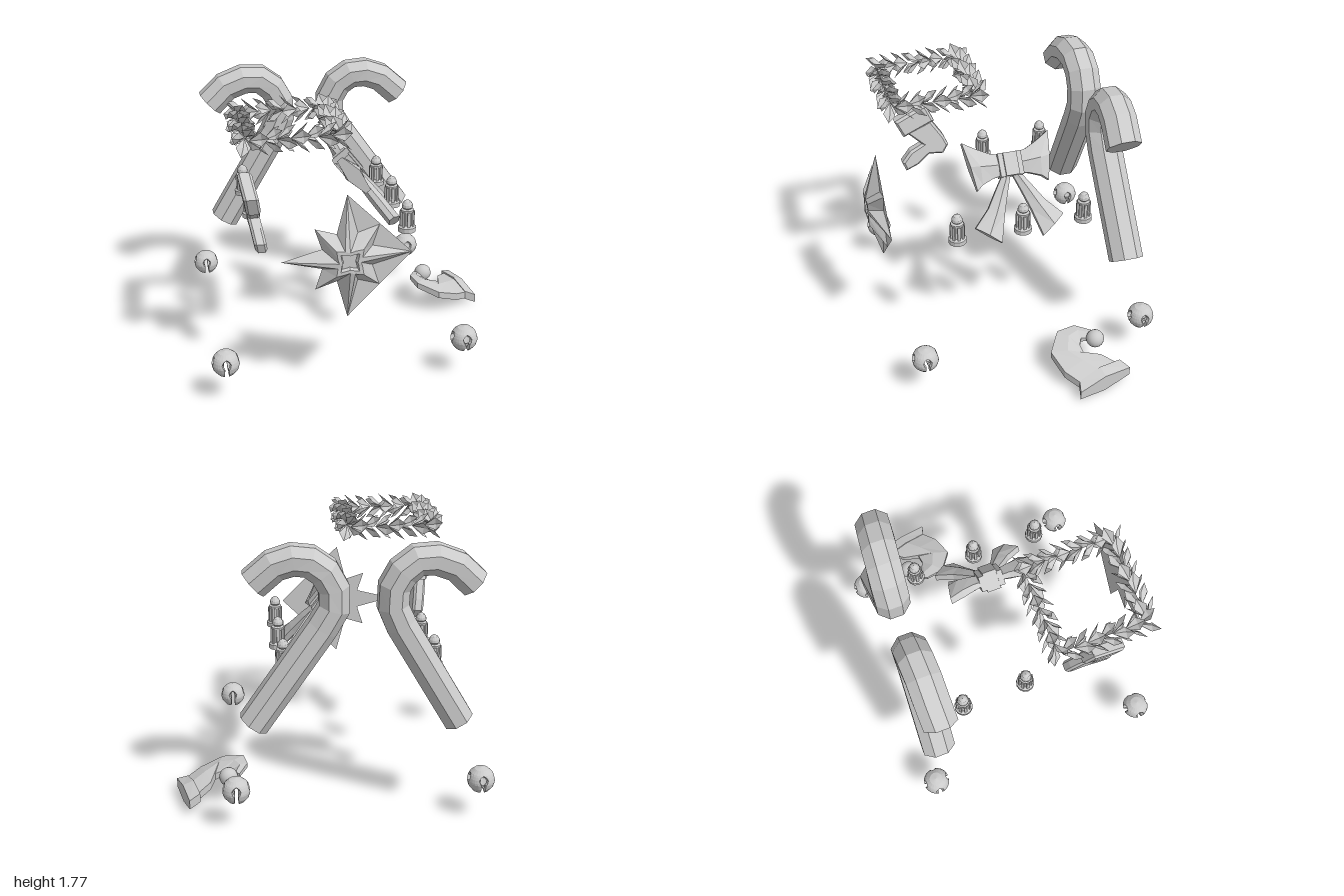
import * as THREE from 'three';

const V = (x, y, z) => new THREE.Vector3(x, y, z);
const mat = new THREE.MeshStandardMaterial({ color: 0xcccccc, flatShading: true, side: THREE.DoubleSide });
const smooth = new THREE.MeshStandardMaterial({ color: 0xcccccc });

function mesh(geo, name, parent, material = mat) {
  const m = new THREE.Mesh(geo, material);
  m.name = name;
  parent.add(m);
  return m;
}

// Faceted geometry from a list of triangle corners
function facets(points) {
  const g = new THREE.BufferGeometry().setFromPoints(points);
  g.computeVertexNormals();
  return g;
}

// Skin a row of rings; optionally close each ring and cap the ends
function loft(rings, { closed = true, caps = true } = {}) {
  const p = [], n = rings[0].length;
  for (let i = 0; i < rings.length - 1; i++) {
    for (let j = 0; j < (closed ? n : n - 1); j++) {
      const k = (j + 1) % n, a = rings[i], b = rings[i + 1];
      p.push(a[j], a[k], b[k], a[j], b[k], b[j]);
    }
  }
  if (caps) {
    for (const [r, flip] of [[rings[0], true], [rings[rings.length - 1], false]]) {
      for (let j = 1; j < n - 1; j++) flip ? p.push(r[0], r[j + 1], r[j]) : p.push(r[0], r[j], r[j + 1]);
    }
  }
  return facets(p);
}

// Eight-sided hooked stick following [x, y, z] points
function cane(path, name, parent) {
  const pts = path.map((a) => V(...a));
  const rings = pts.map((c, i) => {
    const t = pts[Math.min(i + 1, pts.length - 1)].clone().sub(pts[Math.max(i - 1, 0)]);
    // the shaft stays straight right up to the bend
    if (i === 1) t.copy(pts[1]).sub(pts[0]).normalize().add(pts[2].clone().sub(pts[1]).normalize());
    const n = V(t.y, -t.x, 0).normalize();
    return Array.from({ length: 8 }, (_, k) => {
      const a = (k + 0.5) * Math.PI / 4;
      return c.clone().addScaledVector(n, 0.1 * Math.cos(a)).add(V(0, 0, 0.114 * Math.sin(a)));
    });
  });
  mesh(loft(rings), name, parent);
}

// Square garland of folded leaves
function wreath(parent) {
  const p = [], per = 7, half = 0.28, up = V(0, 1, 0);
  for (let side = 0; side < 4; side++) {
    for (let i = 0; i < per; i++) {
      const ang = side * Math.PI / 2;
      const out = V(Math.sin(ang), 0, Math.cos(ang)), t = V(Math.cos(ang), 0, -Math.sin(ang));
      const c = V(-0.455, 1.69, 0.37).addScaledVector(out, half)
        .addScaledVector(t, ((i + 0.2) / per * 2 - 1) * half);
      for (let k = 0; k < 4; k++) {
        const a = k * Math.PI / 2 + 0.4 + (i % 3) * 0.5;
        const r = out.clone().multiplyScalar(Math.cos(a)).addScaledVector(up, Math.sin(a));
        const dir = t.clone().multiplyScalar(0.75).addScaledVector(r, 0.62).normalize();
        const w = t.clone().cross(r), n = dir.clone().cross(w);
        const at = (l, s, h) => c.clone().addScaledVector(dir, l).addScaledVector(w, s).addScaledVector(n, h);
        const base = at(0, 0, 0), tip = at(0.14, 0, 0), mid = at(0.08, 0, 0.015);
        const L = at(0.085, -0.04, 0), R = at(0.085, 0.04, 0);
        p.push(base, L, mid, L, tip, mid, base, mid, R, mid, tip, R);
      }
    }
  }
  mesh(facets(p), 'wreath', parent);
}

// Eight-pointed star: open back, ridged points, sunken centre
function star(parent) {
  const ring = (card, diag, valley, z, zv) => Array.from({ length: 16 }, (_, i) => {
    const a = i * Math.PI / 8, r = i % 2 ? valley : i % 4 ? diag : card;
    return V(r * Math.cos(a), r * Math.sin(a), i % 2 ? zv : z);
  });
  const rings = [
    ring(0.395, 0.275, 0.165, 0, 0), ring(0.065, 0.115, 0.08, 0.09, 0.088),
    ring(0.045, 0.08, 0.055, 0.09, 0.088), ring(0.035, 0.065, 0.045, 0.065, 0.065),
  ];
  mesh(loft(rings), 'star', parent).position.set(-0.175, 0.975, 0.777);
}

// Stocking: side outlines in (z, y), sheared to lean
function stocking(parent) {
  const g = new THREE.Group();
  g.name = 'stocking';
  parent.add(g);
  const slab = (outline, width, name) => {
    const shape = new THREE.Shape(outline.map(([z, y]) => new THREE.Vector2(-z, y)));
    const geo = new THREE.ExtrudeGeometry(shape, {
      depth: width - 0.03, bevelThickness: 0.015, bevelSize: 0.015, bevelOffset: -0.015, bevelSegments: 1,
    });
    geo.translate(0, 0, -(width - 0.03) / 2).rotateY(Math.PI / 2);
    const pos = geo.attributes.position;
    for (let i = 0; i < pos.count; i++) pos.setX(i, pos.getX(i) - 0.68 - 0.16 * (pos.getY(i) - 1.13));
    geo.computeVertexNormals();
    mesh(geo, name, g);
  };
  slab([[0.48, 1.2], [0.375, 1.1], [0.46, 1.06], [0.525, 0.985], [0.5, 0.92], [0.41, 0.955],
    [0.33, 1.02], [0.23, 1.01], [0.19, 1.07], [0.22, 1.14], [0.305, 1.27]], 0.075, 'stockingFoot');
  slab([[0.555, 1.29], [0.335, 1.387], [0.28, 1.262], [0.5, 1.172]], 0.09, 'stockingCuff');
}

// Bow, built upright then leaned over
function bow(parent) {
  const g = new THREE.Group();
  g.name = 'bow';
  g.applyMatrix4(new THREE.Matrix4().makeBasis(V(0, 0, 1), V(-0.62, 0.785, 0), V(-0.785, -0.62, 0))
    .setPosition(0, 1.25, -0.057));
  parent.add(g);
  // section between two in-plane points, ridged along the middle
  const strip = (s, [ax, ay, bx, by, t]) => {
    const mx = (ax + bx) / 2 * s, my = (ay + by) / 2;
    return [V(ax * s, ay, t * 0.4), V(mx, my, t), V(bx * s, by, t * 0.4),
      V(bx * s, by, -t * 0.4), V(mx, my, -t), V(ax * s, ay, -t * 0.4)];
  };
  const loop = [[0.03, 0.065, 0.03, -0.06, 0.03], [0.12, 0.085, 0.12, -0.075, 0.05],
    [0.2, 0.125, 0.2, -0.105, 0.06], [0.29, 0.18, 0.24, -0.14, 0.05]];
  const tail = [[0.04, -0.03, 0, -0.05, 0.03], [0.12, -0.15, 0.05, -0.19, 0.04],
    [0.19, -0.26, 0.09, -0.31, 0.045], [0.295, -0.37, 0.14, -0.49, 0.045]];
  for (const s of [1, -1]) {
    mesh(loft(loop.map((r) => strip(s, r))), 'bowLoop', g);
    mesh(loft(tail.map((r) => strip(s, r))), 'bowTail', g);
    mesh(new THREE.BoxGeometry(0.035, 0.155, 0.1), 'bowPleat', g).position.x = s * 0.06;
  }
  mesh(new THREE.BoxGeometry(0.09, 0.15, 0.13), 'bowKnot', g);
}

// Small lamp: stepped base, ribbed body, pointed bulb
function lamp(x, z, parent) {
  const g = new THREE.Group();
  g.name = 'lamp';
  g.position.set(x, 0.932, z);
  parent.add(g);
  const profile = [[0, 0], [0.058, 0], [0.058, 0.03], [0.05, 0.036], [0.038, 0.045], [0.036, 0.13],
    [0.042, 0.132], [0.042, 0.145], [0.024, 0.15], [0.036, 0.162], [0.034, 0.18], [0.022, 0.2], [0, 0.213]];
  mesh(new THREE.LatheGeometry(profile.map((q) => new THREE.Vector2(...q)), 12), 'lampBody', g);
  for (let i = 0; i < 8; i++) {
    const rib = mesh(new THREE.BoxGeometry(0.018, 0.1, 0.016), 'lampRib', g);
    const a = i * Math.PI / 4;
    rib.position.set(0.039 * Math.sin(a), 0.085, 0.039 * Math.cos(a));
    rib.rotation.y = a;
  }
}

// Round bell: four curved quarters parted by keyhole slots; rows are [radius, height, half slot]
function bell(x, z, parent) {
  const g = new THREE.Group();
  g.name = 'bell';
  g.position.set(x, 0.29, z);
  parent.add(g);
  const rows = [[0, 0.086, 0], [0.043, 0.075, 0], [0.068, 0.053, 0], [0.075, 0.042, 0.018], [0.082, 0.025, 0.028],
    [0.086, 0.004, 0.022], [0.086, -0.008, 0.013], [0.077, -0.038, 0.013], [0.05, -0.07, 0.013], [0.02, -0.07, 0.013]];
  const quarter = loft(rows.map(([r, y, hw]) => {
    const a = r ? Math.asin(hw / r) : 0, row = [];
    for (let j = -1; j <= 6; j++) {
      const f = a + (Math.PI / 2 - 2 * a) * Math.min(Math.max(j, 0), 5) / 5;
      const k = j < 0 || j > 5 ? 0.72 : 1; // slot walls turn inward
      row.push(V(k * r * Math.sin(f), k * y, k * r * Math.cos(f)));
    }
    return row;
  }), { closed: false, caps: false });
  for (let i = 0; i < 4; i++) mesh(quarter, 'bellQuarter', g).rotation.y = i * Math.PI / 2;
}

// Curled cap lying on its side; sections are [x, z, acrossX, acrossZ, halfWidth, halfThickness]
function cap(parent) {
  const g = new THREE.Group();
  g.name = 'cap';
  parent.add(g);
  const section = ([x, z, ax, az, w, t]) => {
    const l = Math.hypot(ax, az), dx = ax / l * w, dz = az / l * w;
    return [[-1, -0.5], [-1, 0.5], [0, 1], [1, 0.5], [1, -0.5], [0, -1]].map(([s, h]) => {
      const px = x + dx * s, pz = z + dz * s;
      return V(px, 0.062 + 0.35 * (1 - px) + t * h, pz);
    });
  };
  mesh(loft([[0.945, -0.425, 0.25, 1, 0.192, 0.06], [0.875, -0.41, 0.28, 1, 0.16, 0.06]].map(section)), 'capBrim', g);
  mesh(loft([[0.89, -0.405, 0.3, 1, 0.145, 0.05], [0.8, -0.32, 0.25, 1, 0.14, 0.05],
    [0.71, -0.245, -0.25, 1, 0.11, 0.045], [0.61, -0.285, -0.75, 0.7, 0.085, 0.04],
    [0.575, -0.36, -1, 0.15, 0.05, 0.03], [0.605, -0.44, -1, -0.6, 0.03, 0.025]].map(section)), 'capHorn', g);
  mesh(new THREE.SphereGeometry(0.06, 16, 12), 'capPompom', g, smooth).position.set(0.65, 0.207, -0.458);
}

export function createModel() {
  const model = new THREE.Group();
  model.name = 'festiveOrnaments';

  cane([[-0.77, 0.67, -0.71], [-0.4, 1.295, -0.69], [-0.35, 1.41, -0.69], [-0.355, 1.53, -0.69], [-0.405, 1.62, -0.69],
    [-0.49, 1.685, -0.685], [-0.6, 1.69, -0.68], [-0.72, 1.645, -0.68], [-0.835, 1.535, -0.675]], 'rightCane', model);
  cane([[0.487, 0.695, -0.71], [0.07, 1.29, -0.69], [0, 1.41, -0.69], [0, 1.53, -0.685], [0.055, 1.63, -0.68],
    [0.14, 1.69, -0.67], [0.24, 1.7, -0.66], [0.345, 1.665, -0.65], [0.47, 1.555, -0.64]], 'leftCane', model);

  wreath(model);
  star(model);
  stocking(model);
  bow(model);
  cap(model);

  for (const [x, z] of [[-0.65, -0.48], [-0.645, -0.058], [0.29, -0.47], [0.3, -0.058], [0.295, 0.373]]) lamp(x, z, model);
  for (const x of [-0.914, 0.604]) for (const z of [-0.795, 0.682]) bell(x, z, model);
  return model;
}
